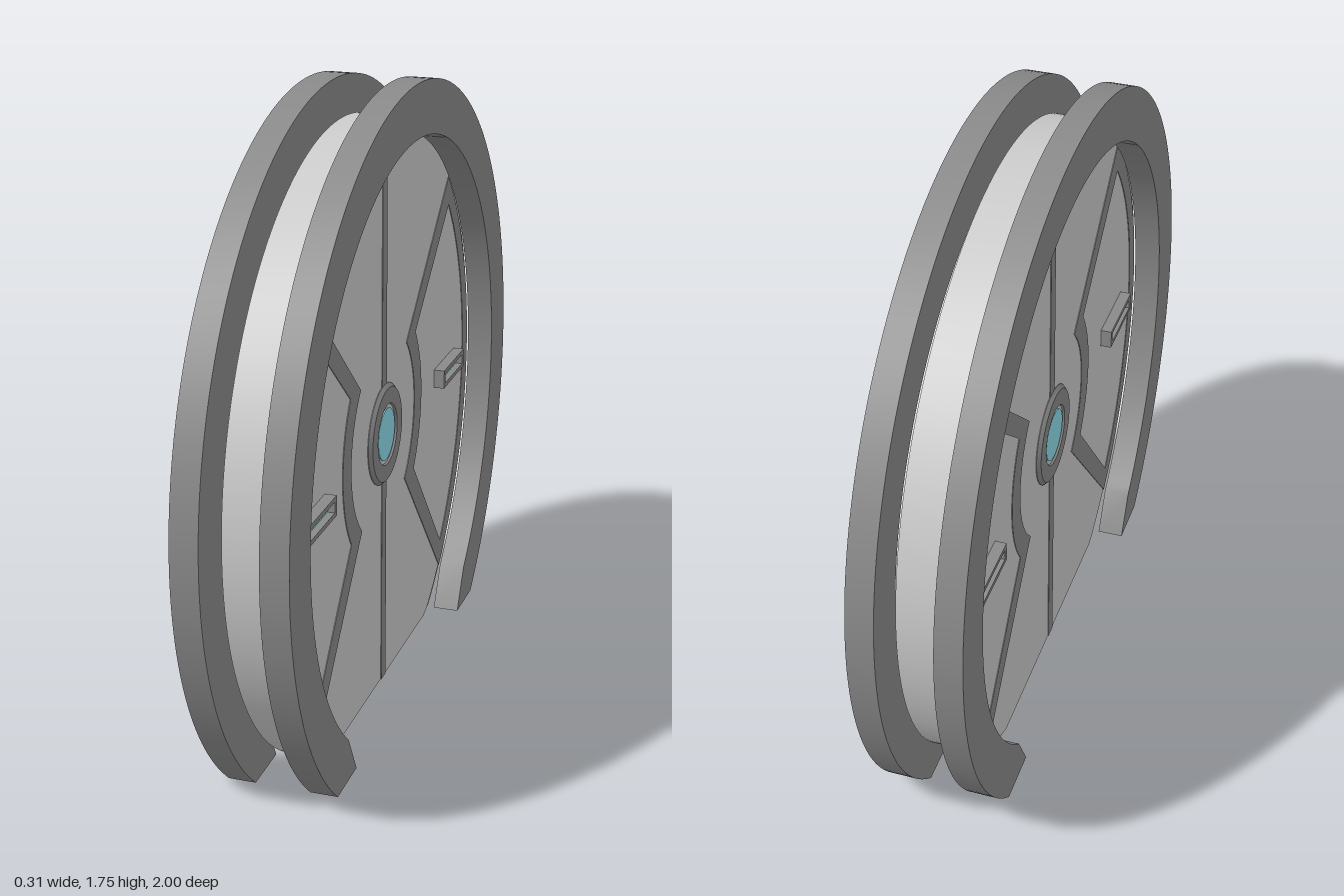
import * as THREE from 'three';
import { toCreasedNormals } from 'three/addons/utils/BufferGeometryUtils.js';

const CY = 0.755;       // height of the circle centre
const FACE = 0.068;     // half thickness of the door leaf
const HUB = 0.013;      // hub centre above the circle centre

const light = new THREE.MeshStandardMaterial({ color: 0xcccccc });
const dark = new THREE.MeshStandardMaterial({ color: 0x8a8a8a });
const cyan = new THREE.MeshStandardMaterial({ color: 0x8ddcea });

function mesh(name, geometry, material) {
  const m = new THREE.Mesh(geometry, material);
  m.name = name;
  return m;
}

// Extrude a shape drawn in the door plane from x0 to x1
function slab(shape, x0, x1) {
  const g = new THREE.ExtrudeGeometry(shape, { depth: x1 - x0, bevelEnabled: false, curveSegments: 72 });
  g.translate(0, 0, x0).rotateY(Math.PI / 2);
  return toCreasedNormals(g, 0.5);
}

// Revolve [radius, x] points around the x axis
function turned(points, segments) {
  const g = new THREE.LatheGeometry(points.map(p => new THREE.Vector2(...p)), segments);
  return g.rotateZ(-Math.PI / 2);
}

// Disc with chamfered rim, flattened at the floor
function leafGeometry() {
  const g = turned([[0, -FACE], [0.86, -FACE], [0.895, -0.06], [0.895, 0.06], [0.86, FACE], [0, FACE]], 160);
  const p = g.attributes.position;
  for (let i = 0; i < p.count; i++) p.setY(i, Math.max(p.getY(i), 0.01 - CY));
  return toCreasedNormals(g, 0.15);
}

// Open ring standing on two feet
function ringShape() {
  const s = new THREE.Shape();
  const a = Math.asin(CY), b = 0.843;
  s.absarc(0, 0, 1, -a, Math.PI + a, false);
  s.lineTo(-0.5, -CY);
  s.absarc(0, 0, 0.85, Math.PI + b, -b, true);
  s.lineTo(0.5, -CY);
  s.closePath();
  return s;
}

// Outline of a side sector; the inner arc is centred on the hub
function sector(Path, inner, outer, outLow, outHigh, inLow, inHigh) {
  const s = new Path();
  s.absarc(0, 0, outer, outLow, outHigh, false);
  s.absarc(0, HUB, inner, inHigh, inLow, true);
  s.closePath();
  return s;
}

function sectorTrim() {
  const s = sector(THREE.Shape, 0.29, 0.862, -0.84, 0.765, -0.82, 0.77);
  s.holes.push(sector(THREE.Path, 0.36, 0.81, -0.765, 0.685, -0.64, 0.61));
  return s;
}

function rect(Path, w, h) {
  const s = new Path();
  s.moveTo(-w / 2, -h / 2);
  s.lineTo(w / 2, -h / 2);
  s.lineTo(w / 2, h / 2);
  s.lineTo(-w / 2, h / 2);
  s.closePath();
  return s;
}

// Everything on one face of the door
function createSide() {
  const side = new THREE.Group();
  side.add(mesh('frameRing', slab(ringShape(), 0.077, 0.153), dark));

  // Dark sector outlines, front and rear
  for (const turn of [0, Math.PI]) {
    const g = slab(sectorTrim(), -0.0015, 0.0015);
    g.rotateX(0).rotateY(turn).translate(FACE + 0.0005, 0, 0);
    side.add(mesh('sectorTrim', g, dark));
  }

  // Centre seam
  const seam = new THREE.BoxGeometry(0.004, 1.61, 0.04);
  seam.translate(FACE, 0.01 - CY + 0.805, 0);
  side.add(mesh('centreSeam', seam, dark));

  // Hub with a lit disc
  const hub = new THREE.Group();
  hub.name = 'hub';
  hub.position.y = HUB;
  const rim = turned([[0.145, 0.06], [0.145, 0.07], [0.135, 0.08], [0.088, 0.08], [0.085, 0.073]], 64);
  hub.add(mesh('hubRim', toCreasedNormals(rim, 0.4), dark));
  hub.add(mesh('hubPlate', toCreasedNormals(turned([[0.086, 0.06], [0.086, 0.074], [0, 0.074]], 64), 0.4), light));
  hub.add(mesh('hubLight', toCreasedNormals(turned([[0.075, 0.06], [0.075, 0.077], [0, 0.077]], 64), 0.4), cyan));
  side.add(hub);

  // Handles: hollow frame around a lit bar
  for (const s of [-1, 1]) {
    const handle = new THREE.Group();
    handle.name = 'handle';
    handle.position.set(0, 0.005, s * 0.607);
    const frame = rect(THREE.Shape, 0.216, 0.056);
    frame.holes.push(rect(THREE.Path, 0.184, 0.03));
    handle.add(mesh('handleFrame', slab(frame, 0.06, 0.1), dark));
    handle.add(mesh('handleLight', slab(rect(THREE.Shape, 0.186, 0.032), 0.06, 0.08), cyan));
    side.add(handle);
  }
  return side;
}

export function createModel() {
  const model = new THREE.Group();
  model.name = 'roundDoor';
  const door = new THREE.Group();
  door.name = 'door';
  door.position.y = CY;
  door.add(mesh('doorLeaf', leafGeometry(), light));

  const right = createSide();
  right.name = 'leftFace';
  const left = createSide();
  left.name = 'rightFace';
  left.rotation.y = Math.PI;
  door.add(right, left);

  model.add(door);
  return model;
}
